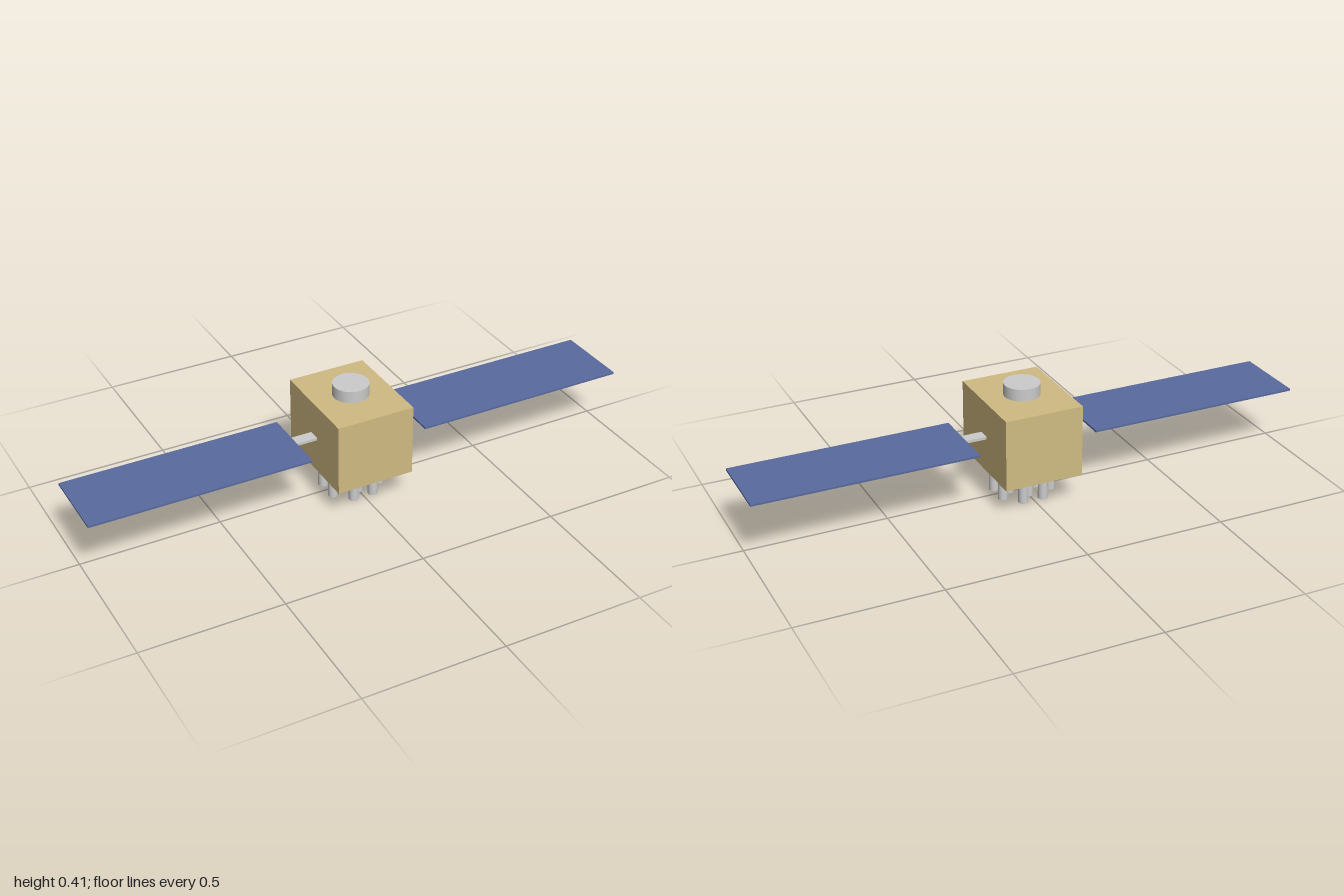
import * as THREE from 'three';

const mat = (color) => new THREE.MeshStandardMaterial({ color });

export function createModel() {
  const model = new THREE.Group();
  model.name = 'satellite';
  const grey = mat(0xcccccc);
  const gold = mat(0xd0bb82);
  const blue = mat(0x596a9e);
  const dark = mat(0x696a74);

  const add = (name, geometry, material, x, y, z) => {
    const mesh = new THREE.Mesh(geometry, material);
    mesh.name = name;
    mesh.position.set(x, y, z);
    model.add(mesh);
    return mesh;
  };

  // Main body with the round cap on top and the antenna plate underneath
  add('body', new THREE.BoxGeometry(0.282, 0.257, 0.356), gold, 0, 0.2345, 0);
  add('topCap', new THREE.CylinderGeometry(0.0635, 0.0635, 0.043, 32), grey, 0, 0.3845, 0);
  add('antennaPlate', new THREE.BoxGeometry(0.242, 0.015, 0.242), dark, 0, 0.0985, 0);

  // Solar wings, mirrored on both sides
  const strut = new THREE.BoxGeometry(0.076, 0.01, 0.042);
  const panel = new THREE.BoxGeometry(0.785, 0.007, 0.27);
  for (const [side, s] of [['left', 1], ['right', -1]]) {
    add(side + 'Strut', strut, grey, s * 0.178, 0.2345, 0);
    add(side + 'SolarPanel', panel, blue, s * 0.6075, 0.2345, 0);
  }

  // Antenna rods: an outer ring of eight and an inner ring of four
  const rod = new THREE.CylinderGeometry(0.0173, 0.0173, 0.091, 20);
  const ring = (name, count, radius, start) => {
    for (let i = 0; i < count; i++) {
      const a = start + (i / count) * Math.PI * 2;
      add(name + (i + 1), rod, grey, radius * Math.cos(a), 0.0455, radius * Math.sin(a));
    }
  };
  ring('outerRod', 8, 0.097, Math.PI / 8);
  ring('innerRod', 4, 0.05, 0);

  return model;
}
